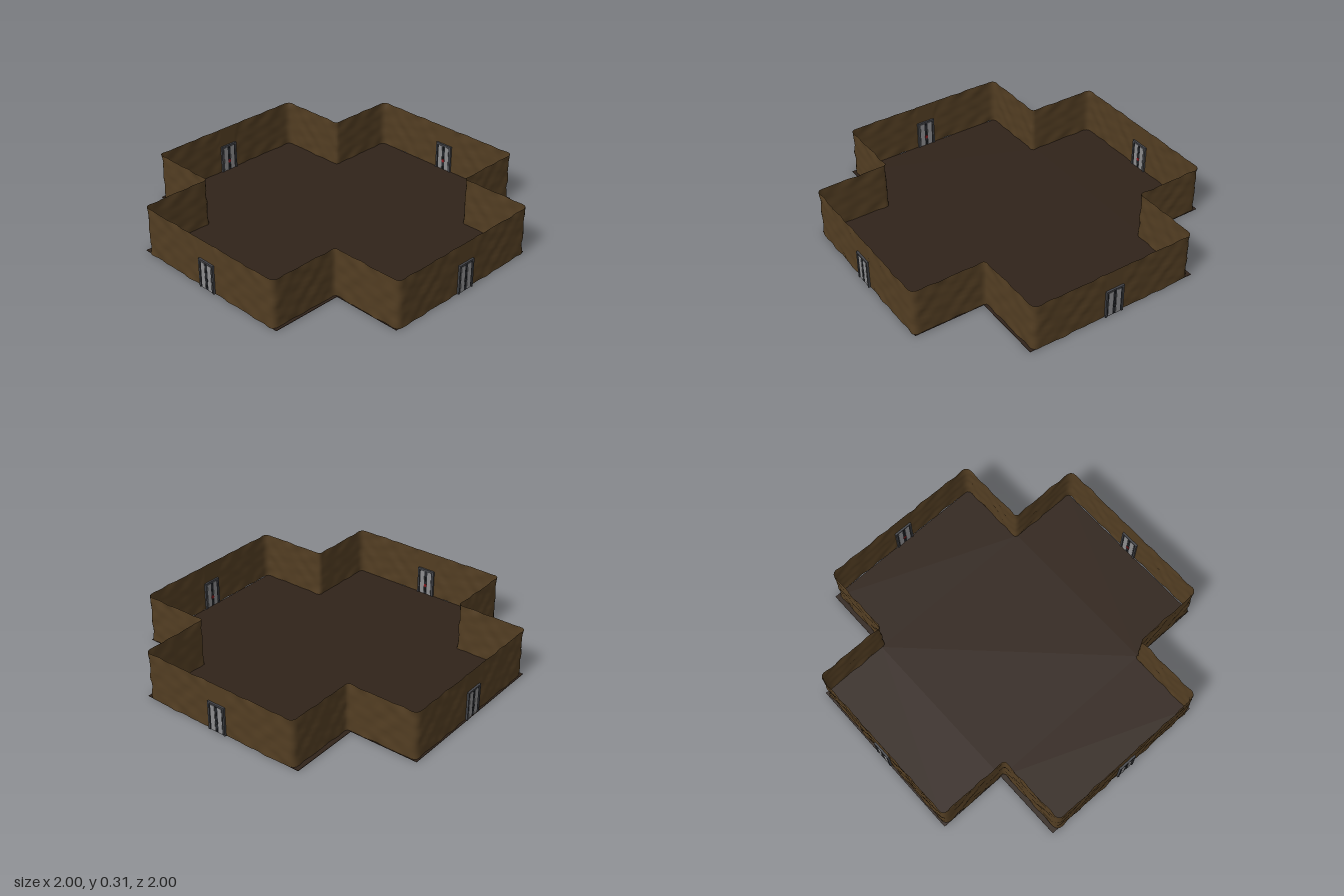
import * as THREE from 'three';

const mat = (color, side = THREE.FrontSide) =>
  new THREE.MeshStandardMaterial({ color, side, roughness: 0.9 });

const WALL_H = 0.305;
const WALL_END = 0.988;

// Corners of a plus-shaped plan as (x, z): arm half-widths and reaches
function crossPlan(hx, z0, z1, endX, endZ0, endZ1) {
  return [
    [hx, endZ1], [hx, z1], [endX, z1], [endX, z0], [hx, z0], [hx, endZ0],
    [-hx, endZ0], [-hx, z0], [-endX, z0], [-endX, z1], [-hx, z1], [-hx, endZ1],
  ].map(([x, z]) => new THREE.Vector2(x, z));
}

// Closed outline with rounded corners: larger outside, tighter at the inner corners
function roundedOutline(corners) {
  const path = new THREE.Path();
  const n = corners.length;
  corners.forEach((c, i) => {
    const r = i % 3 === 1 ? 0.02 : 0.04;
    const a = corners[(i + n - 1) % n].clone().sub(c).setLength(r).add(c);
    const b = corners[(i + 1) % n].clone().sub(c).setLength(r).add(c);
    if (i === 0) path.moveTo(a.x, a.y);
    else path.lineTo(a.x, a.y);
    path.quadraticCurveTo(c.x, c.y, b.x, b.y);
  });
  path.closePath();
  return path;
}

// Rough earthen wall: the outline swept upward and gently rippled
function wallGeometry() {
  const outline = roundedOutline(crossPlan(0.538, -0.535, 0.53, WALL_END, -WALL_END, WALL_END));
  const cols = 480, rows = 12;
  const pts = outline.getSpacedPoints(cols).slice(0, cols);
  const pos = [], index = [];
  for (let j = 0; j <= rows; j++) {
    const y = (WALL_H * j) / rows;
    for (let i = 0; i < cols; i++) {
      const p = pts[i];
      const t = pts[(i + 1) % cols].clone().sub(pts[(i + cols - 1) % cols]).normalize();
      const a = (i / cols) * Math.PI * 2;
      // keep the wall flat behind the doors
      const nearDoor = Math.min(Math.abs(p.x), Math.abs(p.y)) < 0.075;
      const bump = nearDoor ? 0 :
        0.0022 * Math.sin(a * 44 + 3 * Math.sin(y * 21)) +
        0.0016 * Math.sin(a * 71 - y * 52) +
        0.0012 * Math.sin(a * 23 + y * 75);
      pos.push(p.x - t.y * bump, y, p.y + t.x * bump);
    }
  }
  for (let j = 0; j < rows; j++) {
    for (let i = 0; i < cols; i++) {
      const k = (i + 1) % cols;
      const a = j * cols + i, b = j * cols + k;
      const c = a + cols, d = b + cols;
      index.push(a, c, b, b, c, d);
    }
  }
  const geo = new THREE.BufferGeometry();
  geo.setAttribute('position', new THREE.Float32BufferAttribute(pos, 3));
  geo.setIndex(index);
  geo.computeVertexNormals();
  // make sure the front faces look outward
  const p = geo.attributes.position, nrm = geo.attributes.normal;
  if (p.getX(0) * nrm.getX(0) + p.getZ(0) * nrm.getZ(0) < 0) {
    geo.setIndex(index.slice().reverse());
    geo.computeVertexNormals();
  }
  return geo;
}

// Double door, facing +z, standing on y = 0
function makeDoor(mats) {
  const door = new THREE.Group();
  door.name = 'door';
  const box = (name, w, h, d, x, y, m, z = 0) => {
    const mesh = new THREE.Mesh(new THREE.BoxGeometry(w, h, d), m);
    mesh.position.set(x, y, z);
    mesh.name = name;
    door.add(mesh);
  };
  box('doorLintel', 0.12, 0.011, 0.024, 0, 0.1765, mats.frame);
  for (const s of [-1, 1]) {
    box('doorJamb', 0.011, 0.171, 0.024, s * 0.0545, 0.0855, mats.frame);
    box('doorLeaf', 0.048, 0.17, 0.014, s * 0.0248, 0.085, mats.dark);
    box('doorPanel', 0.029, 0.162, 0.018, s * 0.026, 0.085, mats.panel);
  }
  // round lock on both faces, red on the inside
  const knobGeo = new THREE.CylinderGeometry(0.011, 0.011, 0.004, 16).rotateX(Math.PI / 2);
  for (const [name, z, m] of [['outerLock', 0.0095, mats.dark], ['innerLock', -0.0095, mats.red]]) {
    const knob = new THREE.Mesh(knobGeo, m);
    knob.position.set(0, 0.065, z);
    knob.name = name;
    door.add(knob);
  }
  return door;
}

export function createModel() {
  const room = new THREE.Group();
  room.name = 'crossRoom';

  // Floor slab, slightly wider than the walls
  const plan = crossPlan(0.541, -0.563, 0.547, 0.985, -0.998, 0.982);
  const shape = new THREE.Shape(plan.map((p) => new THREE.Vector2(p.x, -p.y)));
  const floorGeo = new THREE.ExtrudeGeometry(shape, { depth: 0.003, bevelEnabled: false });
  floorGeo.rotateX(-Math.PI / 2);
  const floor = new THREE.Mesh(floorGeo, mat(0x30231a));
  floor.name = 'floor';
  room.add(floor);

  // Walls
  const walls = new THREE.Mesh(wallGeometry(), mat(0x523d22, THREE.DoubleSide));
  walls.name = 'walls';
  room.add(walls);

  // A door in the middle of each end wall
  const mats = {
    frame: mat(0x45464a), dark: mat(0x25272b), panel: mat(0x8c8c8e), red: mat(0x8a1c22),
  };
  for (let i = 0; i < 4; i++) {
    const door = makeDoor(mats);
    const a = (i * Math.PI) / 2;
    door.rotation.y = a;
    door.position.set(Math.sin(a) * WALL_END, 0, Math.cos(a) * WALL_END);
    room.add(door);
  }
  return room;
}
